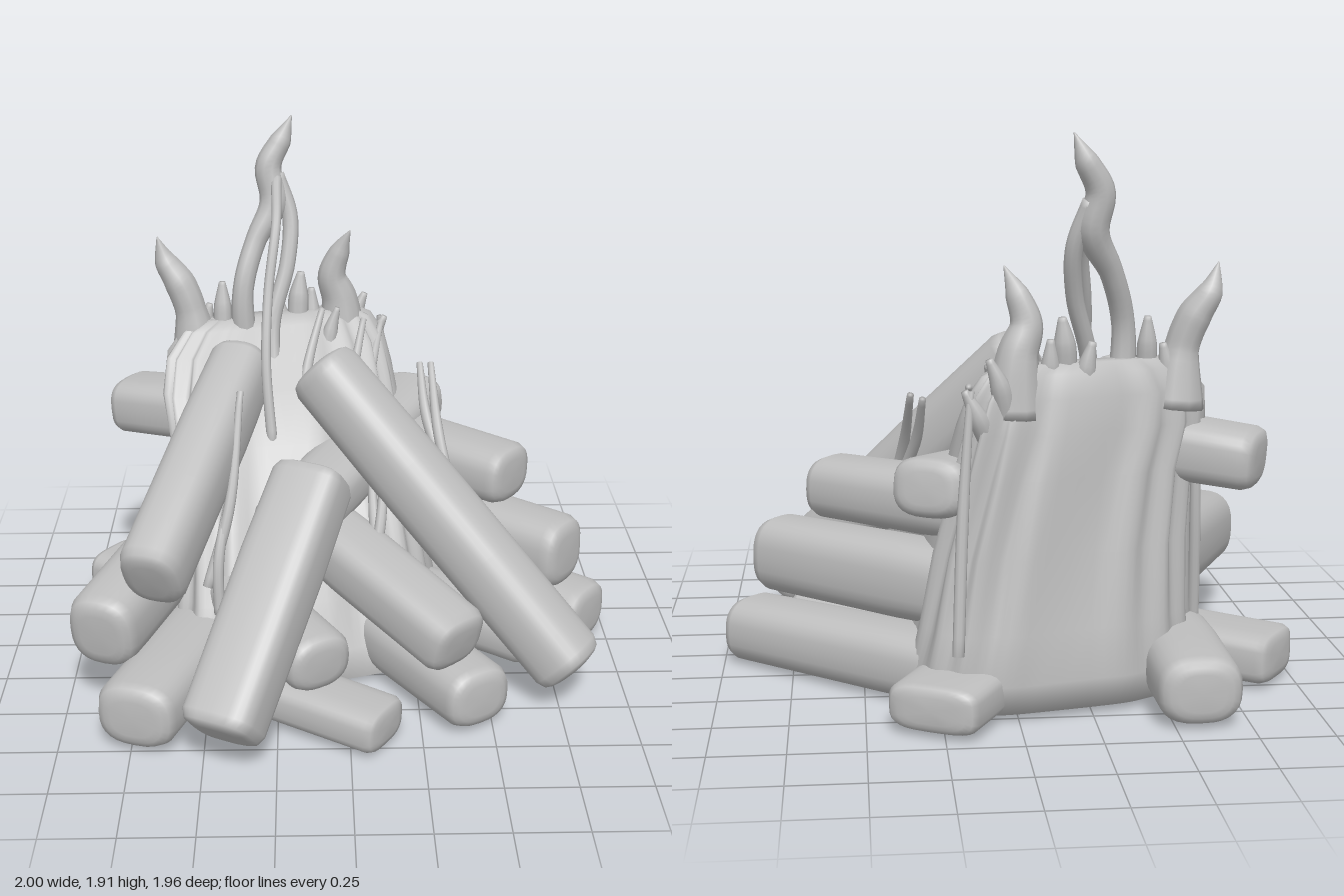
import * as THREE from 'three';

const V = (p) => new THREE.Vector3(...p);

// Smooth closed skin over a list of equal-sized rings
function skin(rings) {
  const n = rings[0].length, pos = [], idx = [];
  const mid = (r) => r.reduce((s, p) => s.add(p), new THREE.Vector3()).divideScalar(n);
  const all = [Array(n).fill(mid(rings[0])), ...rings, Array(n).fill(mid(rings.at(-1)))];
  all.forEach((r) => r.forEach((p) => pos.push(p.x, p.y, p.z)));
  for (let i = 0; i < all.length - 1; i++) {
    for (let j = 0; j < n; j++) {
      const k = (j + 1) % n, a = i * n + j, b = i * n + k, c = b + n, d = a + n;
      if (i > 0) idx.push(a, b, c);
      if (i < all.length - 2) idx.push(a, c, d);
    }
  }
  const g = new THREE.BufferGeometry();
  g.setAttribute('position', new THREE.Float32BufferAttribute(pos, 3));
  g.setIndex(idx);
  g.computeVertexNormals();
  return g;
}

const power = (t, p) => Math.sign(t) * Math.abs(t) ** p;

// Cross-section ring on axes u and v: a square power below 1 makes it boxier
function ring(c, u, v, rx, ry, n, square) {
  return Array.from({ length: n }, (_, j) => {
    const a = (j / n) * Math.PI * 2;
    return c.clone().addScaledVector(u, rx * power(Math.cos(a), square))
      .addScaledVector(v, ry * power(Math.sin(a), square));
  });
}

// Log with bevelled ends running from a to b
function logGeometry(a, b, rx, ry, square) {
  const A = V(a), B = V(b), L = A.distanceTo(B), w = B.clone().sub(A).normalize();
  const u = new THREE.Vector3(0, 1, 0).cross(w).normalize(), v = w.clone().cross(u);
  const bevel = Math.min(rx, ry) * 0.4;
  const steps = [[0, 0.55], [0.006, 0.74], [bevel * 0.35, 0.9], [bevel, 1], [L * 0.35, 1.04], [L * 0.65, 1.02],
    [L - bevel, 1], [L - bevel * 0.35, 0.9], [L - 0.006, 0.74], [L, 0.55]];
  return skin(steps.map(([d, s]) => ring(A.clone().addScaledVector(w, d), u, v, rx * s, ry * s, 28, square)));
}

// Curved strand with a radius per path point
function strandGeometry(points, radii) {
  const curve = new THREE.CatmullRomCurve3(points.map(V));
  const N = points.length * 5, rings = [];
  for (let i = 0; i <= N; i++) {
    const t = i / N, f = t * (radii.length - 1), k = Math.min(Math.floor(f), radii.length - 2);
    const r = THREE.MathUtils.lerp(radii[k], radii[k + 1], f - k);
    const w = curve.getTangent(t), u = new THREE.Vector3(0, 0, 1).cross(w).normalize();
    rings.push(ring(curve.getPoint(t), u, w.clone().cross(u), r, r, 10, 1));
  }
  return skin(rings);
}

// Fluted core: rows of [y, xMin, xMax, zBack, zFront, slant]
function coreGeometry() {
  const rows = [
    [0.02, -0.56, 0.3, -0.64, 0.3, 0.16], [0.04, -0.64, 0.37, -0.74, 0.36, 0.19],
    [0.14, -0.66, 0.36, -0.755, 0.33, 0.22], [0.3, -0.64, 0.32, -0.73, 0.24, 0.23],
    [0.55, -0.63, 0.27, -0.695, 0.1, 0.24], [0.8, -0.64, 0.21, -0.665, -0.08, 0.26],
    [0.95, -0.67, 0.18, -0.65, -0.25, 0.28], [1.06, -0.66, 0.15, -0.63, -0.38, 0.28],
    [1.14, -0.6, 0.1, -0.61, -0.46, 0.28], [1.17, -0.54, 0.04, -0.58, -0.5, 0.28],
  ];
  const n = 120;
  return skin(rows.map(([y, x0, x1, z0, z1, slant]) => Array.from({ length: n }, (_, j) => {
    const a = (j / n) * Math.PI * 2;
    const flute = 1 + 0.035 * Math.min(1, y * 2) * Math.cos(a * 17 + Math.sin(y * 4));
    const x = (x0 + x1) / 2 + ((x1 - x0) / 2) * power(Math.cos(a), 0.58) * flute;
    const z = (z0 + z1) / 2 - ((z1 - z0) / 2) * power(Math.sin(a), 0.58) * flute;
    return new THREE.Vector3(x, y, z - slant * (x + 0.2));
  })));
}

export function createModel() {
  const group = new THREE.Group();
  group.name = 'campfire';
  const grey = new THREE.MeshStandardMaterial({ color: 0xbebebe });
  grey.name = 'light grey';
  const add = (name, geometry) => {
    const m = new THREE.Mesh(geometry, grey);
    m.name = name;
    group.add(m);
  };

  add('fireCore', coreGeometry());

  // Logs: inner end, outer end, half width, half height, squareness
  const logs = {
    leaningLogRight: [[-0.1, 1.13, -0.04], [0.8, 0.16, 0.48], 0.125, 0.125, 0.8],
    leaningLogFront: [[-0.11, 0.84, 0.26], [-0.44, 0.16, 0.89], 0.135, 0.115, 0.55],
    leaningLogLeft: [[-0.375, 1.04, -0.33], [-0.68, 0.57, 0.58], 0.115, 0.14, 0.75],
    sideLogLeft: [[-0.52, 0.45, -0.35], [-0.87, 0.34, 0.53], 0.13, 0.14, 0.75],
    floorLogFrontLeft: [[-0.45, 0.15, -0.05], [-0.74, 0.15, 0.77], 0.145, 0.12, 0.75],
    floorLogLeft: [[-0.35, 0.12, -0.05], [-0.94, 0.12, -0.49], 0.14, 0.09, 0.55],
    highLogLeft: [[-0.42, 0.86, -0.28], [-0.85, 0.82, -0.51], 0.135, 0.105, 0.65],
    floorLogBackLeft: [[-0.58, 0.14, -0.3], [-0.58, 0.14, -0.92], 0.14, 0.115, 0.75],
    floorLogBackRight: [[0.0, 0.11, -0.35], [0.3, 0.11, -0.92], 0.16, 0.08, 0.55],
    floorLogRight: [[0.1, 0.14, -0.66], [0.93, 0.13, 0.01], 0.135, 0.115, 0.75],
    floorLogRightFront: [[0.15, 0.14, -0.25], [0.71, 0.13, 0.18], 0.13, 0.1, 0.75],
    middleLogRight: [[0.08, 0.4, -0.58], [0.83, 0.4, 0.04], 0.13, 0.135, 0.75],
    upperLogRight: [[0.06, 0.68, -0.56], [0.63, 0.67, -0.08], 0.13, 0.11, 0.75],
    crossLog: [[-0.23, 0.65, 0.36], [0.3, 0.78, -0.68], 0.13, 0.1, 0.7],
    frontLogRight: [[-0.13, 0.56, 0.08], [0.38, 0.355, 0.65], 0.125, 0.11, 0.65],
    frontLogMiddle: [[-0.42, 0.32, 0.12], [-0.09, 0.28, 0.65], 0.125, 0.105, 0.8],
    floorLogFront: [[-0.5, 0.12, 0.34], [0.13, 0.1, 0.75], 0.12, 0.08, 0.65],
    floorLogFrontRight: [[0.1, 0.14, 0.05], [0.46, 0.14, 0.65], 0.13, 0.11, 0.75],
  };
  for (const [name, spec] of Object.entries(logs)) add(name, logGeometry(...spec));

  // Large flame tongues
  add('flameMain', strandGeometry([[-0.37, 1.0, -0.46], [-0.38, 1.28, -0.46], [-0.33, 1.46, -0.52],
    [-0.26, 1.6, -0.57], [-0.28, 1.73, -0.59], [-0.23, 1.83, -0.61], [-0.19, 1.92, -0.61]],
  [0.05, 0.04, 0.04, 0.055, 0.05, 0.04, 0.002]));
  add('flameMainBranch', strandGeometry([[-0.25, 0.85, -0.3], [-0.27, 1.15, -0.42], [-0.21, 1.38, -0.5],
    [-0.2, 1.55, -0.56], [-0.25, 1.7, -0.59]], [0.03, 0.03, 0.03, 0.03, 0.03]));
  add('flameMainStrand', strandGeometry([[-0.27, 0.8, -0.1], [-0.29, 1.08, -0.18], [-0.28, 1.33, -0.29],
    [-0.25, 1.56, -0.4], [-0.25, 1.69, -0.56]], [0.02, 0.018, 0.018, 0.018, 0.02]));
  add('flameLeft', strandGeometry([[-0.56, 1.0, -0.46], [-0.58, 1.2, -0.46], [-0.62, 1.31, -0.47],
    [-0.67, 1.39, -0.48], [-0.7, 1.49, -0.47]], [0.1, 0.06, 0.06, 0.045, 0.002]));
  add('flameRight', strandGeometry([[0.0, 1.0, -0.6], [-0.01, 1.2, -0.6], [-0.04, 1.3, -0.59],
    [-0.01, 1.4, -0.58], [0.03, 1.49, -0.55]], [0.1, 0.07, 0.055, 0.04, 0.002]));

  // Small flame tips along the rim: x, z, tip height, lean in x, radius
  [[-0.46, -0.47, 1.31, 0, 0.035], [-0.53, -0.48, 1.22, 0.02, 0.035], [-0.17, -0.56, 1.32, 0.01, 0.04],
    [-0.12, -0.58, 1.25, 0, 0.035], [0.05, -0.67, 1.2, 0.04, 0.035], [0.12, -0.68, 1.1, 0.05, 0.035],
    [-0.05, -0.48, 1.2, 0.03, 0.03], [-0.24, -0.57, 1.24, -0.02, 0.035]].forEach(([x, z, top, lean, r], i) => {
    add(`flameTip${i + 1}`, strandGeometry([[x - lean, 0.85, z + 0.06], [x, top - 0.1, z], [x + lean, top, z - 0.01]],
      [r, r, r * 0.35]));
  });

  // Thin strands licking between the logs
  [[[0.4, 0.6, -0.05], [0.35, 0.82, -0.16], [0.33, 1.03, -0.33]],
    [[0.38, 0.65, -0.12], [0.31, 0.85, -0.24], [0.29, 1.02, -0.36]],
    [[0.08, 0.42, 0.3], [0.12, 0.62, 0.22], [0.14, 0.85, 0.1]],
    [[0.13, 0.42, 0.3], [0.1, 0.6, 0.2], [0.09, 0.78, 0.08]],
    [[-0.5, 0.4, 0.28], [-0.42, 0.68, 0.2], [-0.38, 1.05, 0.02]],
    [[-0.46, 0.3, 0.3], [-0.46, 0.5, 0.27], [-0.4, 0.8, 0.12]],
    [[0.04, 0.78, -0.25], [0.1, 0.95, -0.4], [0.15, 1.1, -0.6]],
    [[-0.16, 0.8, -0.18], [-0.14, 1.0, -0.33], [-0.08, 1.2, -0.47]],
    [[0.0, 0.78, -0.16], [0.03, 0.95, -0.32], [0.08, 1.15, -0.5]],
    [[0.2, 0.25, -0.8], [0.18, 0.7, -0.74], [0.15, 1.1, -0.69]],
    [[-0.66, 0.2, -0.35], [-0.65, 0.6, -0.4], [-0.64, 1.0, -0.42]],
  ].forEach((p, i) => add(`strand${i + 1}`, strandGeometry(p, [0.02, 0.02, 0.012])));

  return group;
}
